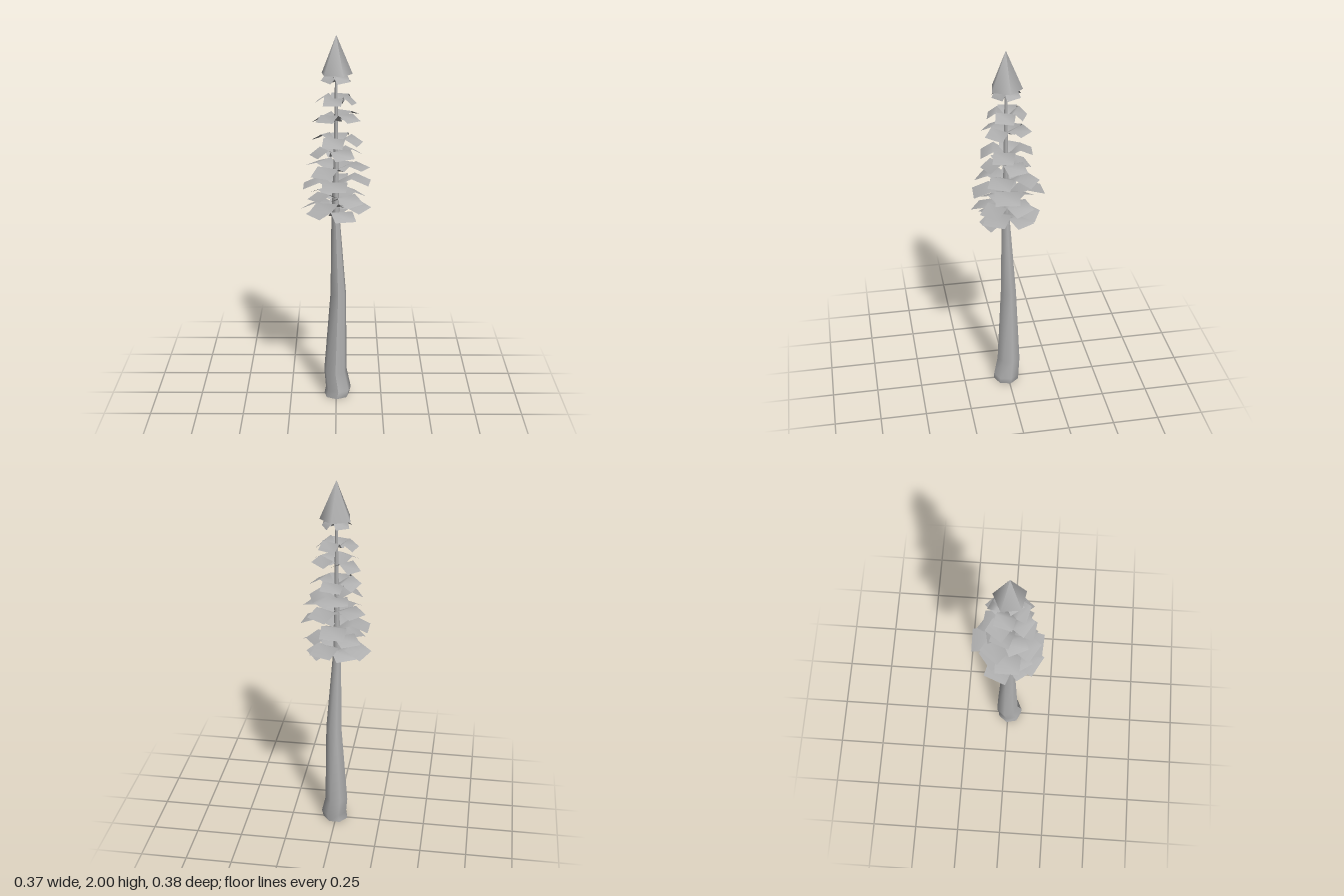
import * as THREE from 'three';

const bark = new THREE.MeshStandardMaterial({ color: 0xb0b0b0, side: THREE.DoubleSide });
bark.name = 'grey';

// small seeded generator, -1..1
function makeJitter(seed) {
  return () => {
    seed = (seed * 16807) % 2147483647;
    return (seed / 2147483647) * 2 - 1;
  };
}

// Tapered, slightly wandering trunk: y, centre x, centre z, radius
function trunkGeometry() {
  const rings = [
    [0, 0.003, 0.01, 0.070], [0.04, 0.012, 0.01, 0.071], [0.14, -0.004, -0.006, 0.064],
    [0.6, 0.011, -0.002, 0.043], [1.05, -0.004, 0.01, 0.022], [1.3, -0.002, 0.01, 0.014],
    [1.82, 0, 0.01, 0.006],
  ];
  const n = rings.length - 1;
  const g = new THREE.CylinderGeometry(1, 1, n, 7, n);
  const p = g.attributes.position;
  for (let i = 0; i < p.count; i++) {
    const [y, cx, cz, r] = rings[Math.round(p.getY(i) + n / 2)];
    p.setXYZ(i, cx + p.getX(i) * r, y, cz + p.getZ(i) * r);
  }
  g.computeVertexNormals();
  return g;
}

// Square bough sheet folded across its middle, pointing along +x
function boughGeometry(reach, halfWidth, drop) {
  const g = new THREE.PlaneGeometry(1, 2, 2, 1).rotateX(-Math.PI / 2);
  const p = g.attributes.position;
  const heights = [-0.016, 0.022, -drop];
  const widths = [0.75, 1.0, 0.95];
  for (let i = 0; i < p.count; i++) {
    const t = p.getX(i) + 0.5;
    const k = Math.round(t * 2);
    p.setXYZ(i, 0.005 + t * (reach - 0.005), heights[k], p.getZ(i) * halfWidth * widths[k]);
  }
  g.computeVertexNormals();
  return g;
}

export function createModel() {
  const root = new THREE.Group();
  root.name = 'conifer';

  const trunk = new THREE.Mesh(trunkGeometry(), bark);
  trunk.name = 'trunk';
  root.add(trunk);

  // Tiers of boughs: height, reach, half width, first angle in degrees
  const tiers = [
    [1.07, 0.145, 0.062, 60], [1.10, 0.165, 0.066, 25], [1.155, 0.145, 0.062, 50],
    [1.23, 0.178, 0.066, 5], [1.315, 0.155, 0.062, 30], [1.385, 0.125, 0.056, 70],
    [1.455, 0.125, 0.056, 15], [1.57, 0.12, 0.053, 40], [1.67, 0.10, 0.050, 20],
    [1.785, 0.065, 0.042, 55],
  ];
  const jitter = makeJitter(4271);
  tiers.forEach(([y, reach, halfWidth, start], t) => {
    const tier = new THREE.Group();
    tier.name = 'boughTier' + (t + 1);
    for (let i = 0; i < 4; i++) {
      const g = boughGeometry(reach * (1 + 0.08 * jitter()), halfWidth, 0.004 + 0.008 * (1 + jitter()));
      const bough = new THREE.Mesh(g, bark);
      bough.name = 'bough';
      bough.rotation.set(0.1 * jitter(), -THREE.MathUtils.degToRad(start + i * 90 + 9 * jitter()), 0.06 * jitter(), 'YXZ');
      bough.position.y = 0.012 * jitter();
      tier.add(bough);
    }
    tier.position.set(0, y, 0.006);
    root.add(tier);
  });

  // Pointed five-sided top
  const tip = new THREE.Mesh(new THREE.ConeGeometry(0.085, 0.2, 5, 1, true), bark);
  tip.name = 'treeTop';
  tip.position.set(0, 1.9, 0.01);
  tip.rotation.y = THREE.MathUtils.degToRad(26);
  root.add(tip);

  return root;
}
